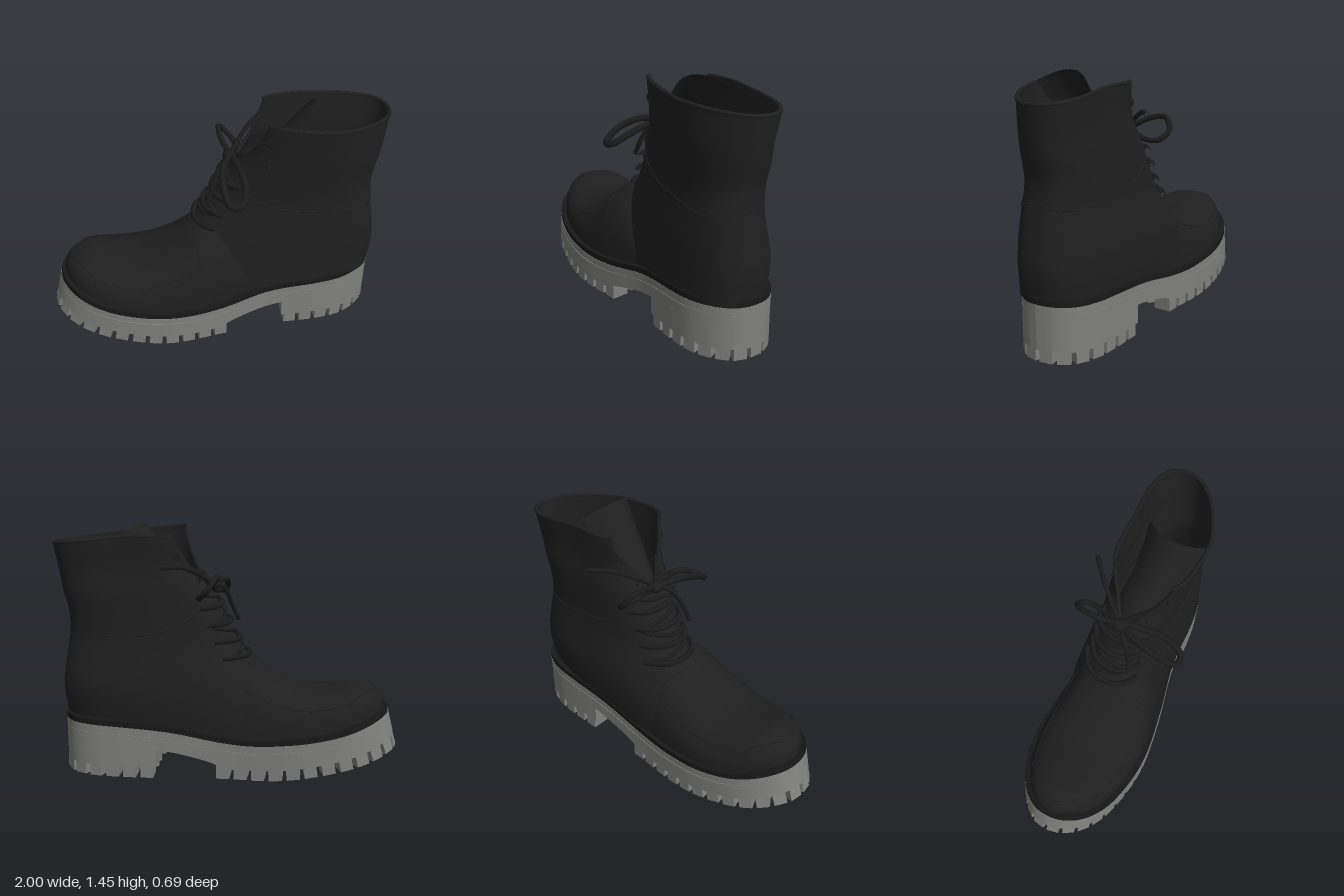
import * as THREE from 'three';
import { toCreasedNormals } from 'three/addons/utils/BufferGeometryUtils.js';

const V = (x, y, z) => new THREE.Vector3(x, y, z);
const clamp = THREE.MathUtils.clamp;
const mix = THREE.MathUtils.lerp;

// Smooth function through [input, output] points
function smoothFn(pts) {
  const s = new THREE.CatmullRomCurve3(pts.map(p => V(p[0], p[1], 0))).getPoints(240);
  return x => {
    if (x <= s[0].x) return s[0].y;
    for (let i = 1; i < s.length; i++) {
      if (x <= s[i].x) return mix(s[i - 1].y, s[i].y, (x - s[i - 1].x) / (s[i].x - s[i - 1].x || 1));
    }
    return s[s.length - 1].y;
  };
}

// Surface through rows of points; wrap joins the last column to the first
function loft(rows, wrap, crease) {
  const n = rows[0].length, pos = [], idx = [];
  rows.forEach(r => r.forEach(p => pos.push(p.x, p.y, p.z)));
  for (let i = 0; i < rows.length - 1; i++) {
    for (let j = 0; j < (wrap ? n : n - 1); j++) {
      const k = (j + 1) % n, a = i * n + j, b = i * n + k, c = a + n, d = b + n;
      idx.push(a, c, b, b, c, d);
    }
  }
  const g = new THREE.BufferGeometry();
  g.setAttribute('position', new THREE.Float32BufferAttribute(pos, 3));
  g.setIndex(idx);
  return toCreasedNormals(g, crease);
}

// Plan outline of the sole, toe at -x, and its height curves
const sideLeft = smoothFn([[-1, 0], [-.975, .09], [-.9, .19], [-.75, .28], [-.5, .335], [-.3, .338], [0, .285],
  [.3, .215], [.6, .195], [.75, .165], [.87, .095], [.94, .01], [.96, -.07]]);
const sideRight = smoothFn([[-1, 0], [-.98, -.09], [-.9, -.19], [-.75, -.28], [-.5, -.338], [-.3, -.34], [0, -.322],
  [.3, -.318], [.6, -.32], [.75, -.308], [.87, -.26], [.94, -.17], [.96, -.07]]);
const soleTop = smoothFn([[-1, .365], [-.8, .305], [-.6, .26], [-.2, .215], [0, .225], [.3, .275], [.6, .3], [.96, .312]]);
const soleMid = smoothFn([[-1, .23], [-.8, .165], [-.6, .12], [-.3, .075], [0, .075], [.05, .1], [.38, .17], [.96, .17]]);
const soleBottom = smoothFn([[-1, .16], [-.8, .1], [-.6, .058], [-.3, .014], [0, .01], [.2, 0], [.96, 0]]);
// The toe of the sole leans back towards its top
const lean = (x, y) => x + clamp((-x - .5) / .5, 0, 1) * (y - .16) * .25;

// Slab of the sole between two heights, from x0 to x1
function slab(x0, x1, low, high, scale = 1) {
  const rows = [], n = 72;
  for (let i = 0; i <= n; i++) {
    const x = mix(x0, x1, (1 - Math.cos(Math.PI * i / n)) / 2);
    const c = (sideLeft(x) + sideRight(x)) / 2, w = (sideLeft(x) - sideRight(x)) / 2 * scale;
    const a = low(x), b = high(x);
    rows.push([V(lean(x, a), a, c + w), V(lean(x, b), b, c + w), V(lean(x, b), b, c - w), V(lean(x, a), a, c - w)]);
  }
  const cap = r => { const m = r[0].clone().add(r[2]).multiplyScalar(.5); return r.map(() => m.clone()); };
  return loft([cap(rows[0]), ...rows, cap(rows[n])], true, .6);
}

// Point on the front part of the upper; a runs from the left side over the top
const vampTop = smoothFn([[-.92, .39], [-.912, .435], [-.875, .49], [-.78, .525], [-.6, .497], [-.5, .492],
  [-.4, .515], [-.25, .585], [-.18, .635], [-.1, .69], [0, .7], [.15, .58], [.3, .42]]);
function vampPoint(x, a, out = 0) {
  const xo = x - .08 * clamp((-x - .3) / .62, 0, 1);
  const l = sideLeft(xo), r = sideRight(xo), base = soleTop(xo) + .02;
  const w = (l - r) / 2 * mix(.92, .82, clamp((x + .1) / .4, 0, 1)) + out, c = Math.cos(a);
  const top = Math.max(vampTop(x), base) + out;
  return V(x, base + (top - base) * Math.pow(Math.max(Math.sin(a), 0), .82), (l + r) / 2 + w * Math.sign(c) * Math.pow(Math.abs(c), .82));
}

// Point on the ankle and shaft; a = 0 at the front, turning to the left side
const shaftFront = smoothFn([[.33, -.45], [.45, -.36], [.55, -.26], [.62, -.18], [.72, -.1], [.9, 0], [1.08, .1], [1.2, .17], [1.42, .21]]);
const shaftBack = smoothFn([[.33, .945], [.5, .965], [.6, .955], [.7, .94], [.8, .925], [.95, .92], [1.1, .95], [1.2, .965], [1.42, .995]]);
const shaftLeft = smoothFn([[.33, .2], [.6, .18], [.8, .154], [.9, .152], [1.05, .17], [1.2, .19], [1.42, .215]]);
const shaftRight = smoothFn([[.33, -.312], [.45, -.322], [.55, -.318], [.65, -.295], [.8, -.265], [.95, -.256], [1.1, -.25], [1.2, -.238], [1.42, -.245]]);
function shaftPoint(y, a, out = 0) {
  const f = shaftFront(y) - out, b = shaftBack(y) + out, l = shaftLeft(y) + out, r = shaftRight(y) - out;
  const t = clamp((y - .8) / .6, 0, 1), low = 1 - clamp((y - .33) / .4, 0, 1), c = Math.cos(a), s = Math.sin(a);
  // Square at the front of the collar, tapering to the back on the left side
  const p = c > 0 ? mix(mix(.85, .65, low), .55, t) : mix(.72, s > 0 ? 1.05 : .85, t);
  const x = (f + b) / 2 - (b - f) / 2 * Math.sign(c) * Math.pow(Math.abs(c), p);
  const z = (l + r) / 2 + (l - r) / 2 * Math.sign(s) * Math.pow(Math.abs(s), p) - t * .075 * Math.max(-c, 0);
  const drop = (1 - clamp((y - .33) / .3, 0, 1)) * (.34 - soleTop(x) - .02);
  const dip = s < 0 && c > 0 ? t * .03 * c * -s * 2 : 0;
  return V(x, y - drop - dip - t * .11 * Math.max(x - .27, 0), z);
}
// The collar is open at the front above the laces
const GAP_LEFT = .7, GAP_RIGHT = .82;
const gap = (y, size) => size * clamp((y - 1.06) / .3, 0, 1);

export function createModel() {
  const boot = new THREE.Group();
  boot.name = 'boot';
  const mat = (name, color, side = THREE.FrontSide) => Object.assign(new THREE.MeshStandardMaterial({ color, side }), { name });
  const leather = mat('black leather', 0x1f1f1f, THREE.DoubleSide);
  const lace = mat('black lace', 0x1b1b1b);
  const rubber = mat('grey rubber', 0x80807e);
  const edge = mat('welt black', 0x181818);
  const add = (name, geo, m, parent = boot) => {
    const mesh = new THREE.Mesh(geo, m);
    mesh.name = name;
    parent.add(mesh);
    return mesh;
  };
  const tube = (name, pts, r, m, parent) =>
    add(name, new THREE.TubeGeometry(new THREE.CatmullRomCurve3(pts), pts.length * 6, r, 7), m, parent);
  const list = (n, f) => Array.from({ length: n + 1 }, (_, i) => f(i / n));

  // Sole, heel and welt
  add('midsole', slab(-1, .96, soleMid, x => soleTop(x) - .045), rubber);
  add('midsoleGroove', slab(-1, .96, x => soleTop(x) - .05, x => soleTop(x) - .037, .985), rubber);
  add('midsoleLip', slab(-1, .96, x => soleTop(x) - .038, soleTop, 1.003), rubber);
  add('heelBlock', slab(.385, .96, () => .065, () => .2), rubber);
  add('welt', slab(-.995, .957, soleTop, x => soleTop(x) + .034, .995), edge);

  // Tread blocks round the edge, tilted along the rise of the toe
  const tread = new THREE.Group();
  tread.name = 'tread';
  boot.add(tread);
  const block = (x, z, turn, len, wide) => {
    const low = soleBottom(x), high = x > .3 ? .08 : soleMid(x) + .015;
    const m = add('treadBlock', new THREE.BoxGeometry(len, high - low, wide), rubber, tread);
    m.position.set(lean(x, (low + high) / 2), (low + high) / 2, z);
    m.rotation.set(0, turn, Math.atan((soleBottom(x + .04) - soleBottom(x - .04)) / .08), 'ZYX');
  };
  const ring = (x0, x1) => {
    for (const side of [sideLeft, sideRight]) {
      const path = new THREE.CatmullRomCurve3(list(120, t => {
        const x = mix(x0, x1, (1 - Math.cos(Math.PI * t)) / 2);
        return V(x, 0, side(x));
      }));
      const n = Math.round(path.getLength() / .1);
      for (let i = 0; i < n; i++) {
        const u = (i + .5) / n, p = path.getPointAt(u), t = path.getTangentAt(u);
        const s = side === sideLeft ? 1 : -1;
        const q = p.clone().add(V(t.z, 0, -t.x).multiplyScalar(s * .057));
        block(q.x, q.z, -Math.atan2(t.z, t.x), .074, .108);
      }
    }
  };
  ring(-1, .05);
  ring(.39, .96);
  // Angled tread blocks in the middle
  for (let x = -.82; x < .03; x += .125) {
    for (const s of [-1, 1]) block(x, s * .095 - .01, s * .55, .07, .14);
  }
  for (const x of [.46, .6, .74]) {
    for (const s of [-1, 1]) block(x, s * .065 - .07, s * .55, .075, .1);
  }

  // Upper, with a lining just inside the shaft
  add('vamp', loft(list(60, t => {
    const x = mix(-.92, .3, 1 - Math.cos(t * Math.PI / 2));
    return list(32, k => vampPoint(x, k * Math.PI));
  }), false, 1.3), leather);
  const shaft = (name, y0, out) => add(name, loft(list(44, t => {
    const y = mix(y0, 1.42, t);
    return list(72, k => shaftPoint(y, mix(Math.PI * 2 - gap(y, GAP_RIGHT), gap(y, GAP_LEFT), k), out));
  }), false, 1.3), leather);
  shaft('shaft', .33, 0);
  shaft('lining', .75, -.02);
  tube('collarRim', list(40, k => shaftPoint(1.412, mix(Math.PI * 2 - GAP_RIGHT, GAP_LEFT, k), -.009)), .012, leather);
  for (const [s, size] of [[1, GAP_LEFT], [-1, GAP_RIGHT]]) {
    tube('collarFrontEdge', list(10, k => {
      const y = mix(1.06, 1.412, k);
      return shaftPoint(y, s * gap(y, size), -.009);
    }), .011, leather);
  }

  // Tongue, curved across and leaning back into the opening
  const tongue = new THREE.CatmullRomCurve3([V(.06, .9, -.05), V(.16, 1.08, -.04), V(.3, 1.22, 0), V(.41, 1.34, .02), V(.5, 1.45, .03)]);
  add('tongue', loft(list(16, t => {
    const p = tongue.getPoint(t), w = mix(.09, .18, t);
    return list(12, k => {
      const s = k * 2 - 1;
      return V(p.x + s * s * .09, p.y - s * s * .07 * t, p.z - s * w);
    });
  }), false, 1.3), leather);

  // Fine raised seams
  const seam = .61;
  tube('toeSeam', [...list(9, t => vampPoint(mix(-.12, -.72, t), seam)),
    ...list(12, t => vampPoint(-.72 - .15 * Math.sin(t * Math.PI), mix(seam, Math.PI - seam, t))),
    ...list(9, t => vampPoint(mix(-.72, -.12, t), Math.PI - seam))], .004, leather);
  for (const [s, size] of [[1, GAP_LEFT], [-1, GAP_RIGHT]]) {
    tube('collarSeam', list(14, t => shaftPoint(.83 + .2 * Math.pow(1 - t, 3) - .05 * Math.sin(Math.PI * t), s * mix(.6, Math.PI, t))), .004, leather);
    tube('facingSeam', list(6, t => vampPoint(mix(-.1, -.16, t), s > 0 ? mix(.5, 1.4, t) : Math.PI - mix(.5, 1.4, t))), .004, leather);
    // Eyelets
    for (const y of [1.14, 1.29]) {
      const e = add('eyelet', new THREE.TorusGeometry(.014, .005, 6, 14), lace);
      const p = shaftPoint(y, s * (gap(y, size) + .17), .003);
      e.position.copy(p);
      e.lookAt(p.x - .1, p.y, p.z + s * .4);
    }
  }

  // Laces
  const laces = new THREE.Group();
  laces.name = 'laces';
  boot.add(laces);
  [.68, .77, .87, .97].forEach((y, i) => {
    const d = i % 2 ? 1 : -1;
    tube('laceRow', list(8, t => shaftPoint(y + .02, mix(-.8, .72, t), .018)), .017, lace, laces);
    tube('laceCross', list(8, t => shaftPoint(y + .06 - d * (t - .5) * .08, mix(-.7, .6, t), .008)), .012, lace, laces);
  });
  const knot = add('knot', new THREE.SphereGeometry(.04, 14, 10), lace, laces);
  knot.position.set(.08, 1.1, -.06);
  knot.scale.set(1, .9, 1.2);
  tube('bowLoopLeft', [V(.08, 1.1, -.05), V(.03, 1.11, .08), V(.02, 1.07, .22), V(.05, 1.01, .31), V(.11, 1.01, .31),
    V(.14, 1.06, .22), V(.12, 1.1, .08), V(.09, 1.11, -.05)], .019, lace, laces);
  tube('bowLoopRight', [V(.08, 1.1, -.08), V(.04, 1.15, -.18), V(.04, 1.16, -.28), V(.08, 1.1, -.325), V(.13, 1.05, -.29),
    V(.13, 1.05, -.18), V(.09, 1.09, -.08)], .016, lace, laces);
  tube('laceEndRight', [V(.09, 1.11, -.07), V(.16, 1.17, -.16), V(.24, 1.215, -.25), V(.34, 1.22, -.34)], .013, lace, laces);
  tube('laceEndLeft', [V(.08, 1.1, -.05), V(.02, 1.07, 0), V(-.02, .97, .05), V(-.06, .87, .07)], .014, lace, laces);
  tube('laceTop', [V(.09, 1.1, -.06), V(.16, 1.15, .02), V(.24, 1.16, .1), V(.28, 1.14, .17)], .014, lace, laces);
  return boot;
}
